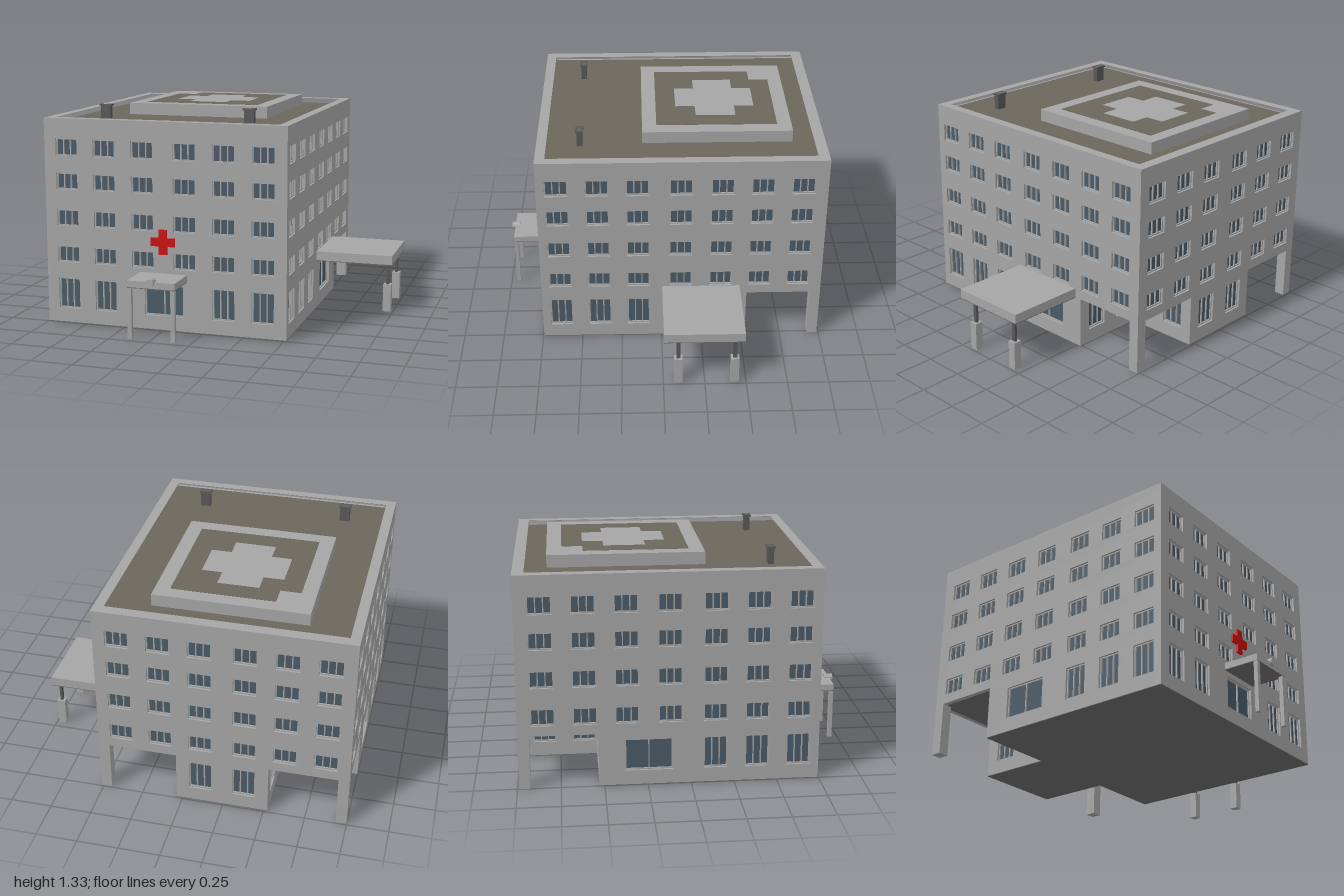
import * as THREE from 'three';
import { mergeGeometries } from 'three/addons/utils/BufferGeometryUtils.js';

const mat = (color) => new THREE.MeshStandardMaterial({ color, flatShading: true });
const GREY = mat(0xa5a5a5), UNDERSIDE = mat(0x6a6a6a), GLASS = mat(0x495a67);
const ROOF = mat(0x6c675c), RED = mat(0xcd1010), VENT = mat(0x585858);

// Building extents, measured from its own centre line
const HW = 0.757, FRONT = 0.745, BACK = -0.99, BASE = 0.004, WALL_TOP = 1.22, T = 0.03;
const BUMP = 0.28, NOTCH_Z = -0.53, NOTCH_Y = 0.32;
const COLS = [-0.615, -0.374, -0.132, 0.132, 0.374, 0.615];
const SIDE_COLS = [0.625, 0.384, 0.142, -0.118, -0.365, -0.605, -0.845];
const FLOORS = [[0.38, 0.48], [0.605, 0.705], [0.83, 0.93], [1.035, 1.14]];
const GROUND = [0.09, 0.28];

function boxGeo(x0, x1, y0, y1, z0, z1) {
  return new THREE.BoxGeometry(x1 - x0, y1 - y0, z1 - z0)
    .translate((x0 + x1) / 2, (y0 + y1) / 2, (z0 + z1) / 2);
}

function add(parent, name, geo, material = GREY) {
  const mesh = new THREE.Mesh(geo, material);
  mesh.name = name;
  parent.add(mesh);
  return mesh;
}

const box = (parent, name, e, material) => add(parent, name, boxGeo(...e), material);
const shapeOf = (pts) => new THREE.Shape(pts.map(([x, y]) => new THREE.Vector2(x, y)));
const rect = (x0, x1, y0, y1) => [[x0, y0], [x1, y0], [x1, y1], [x0, y1]];
const ordered = (a, b) => [Math.min(a, b), Math.max(a, b)];

// Horizontal slab from an outline in x and z, with a hole
function slab(outline, hole, y, height) {
  const flip = (pts) => shapeOf(pts.map(([x, z]) => [x, -z]));
  const shape = flip(outline);
  shape.holes.push(flip(hole));
  return new THREE.ExtrudeGeometry(shape, { depth: height, bevelEnabled: false })
    .rotateX(-Math.PI / 2).translate(0, y, 0);
}

// Wall with recessed openings; outward is local +z
function wall(parent, name, outline, openings, x, z, turn) {
  const group = new THREE.Group();
  group.name = name;
  group.position.set(x, 0, z);
  group.rotation.y = turn;
  const shape = shapeOf(outline), frames = [], panes = [], f = 0.007;
  for (const { u, w, y0, y1, n } of openings) {
    const a = u - w / 2, b = u + w / 2;
    shape.holes.push(shapeOf(rect(a, b, y0, y1)));
    panes.push(boxGeo(a, b, y0, y1, -T, -0.022));
    for (const y of [y0, y1 - f]) frames.push(boxGeo(a, b, y, y + f, -0.024, -0.012));
    for (let i = 0; i <= n; i++) {
      const c = a + f / 2 + (w - f) * i / n;
      frames.push(boxGeo(c - f / 2, c + f / 2, y0 + f, y1 - f, -0.024, -0.013));
    }
  }
  add(group, 'wallPanel', new THREE.ExtrudeGeometry(shape, { depth: T, bevelEnabled: false }).translate(0, 0, -T));
  add(group, 'windowFrames', mergeGeometries(frames));
  add(group, 'windowGlass', mergeGeometries(panes), GLASS);
  parent.add(group);
}

const windowAt = (u, [y0, y1]) => ({ u, w: 0.138, y0, y1, n: 3 });
const doorAt = (u, w) => ({ u, w, y0: GROUND[0], y1: GROUND[1], n: 2 });
const upper = (cols) => FLOORS.flatMap((fl) => cols.map((u) => windowAt(u, fl)));
const lower = (cols) => cols.map((u) => windowAt(u, GROUND));

function addWalls(b) {
  wall(b, 'frontWall', rect(-HW, HW, BASE, WALL_TOP),
    [...upper(COLS), ...lower([-0.615, -0.374, 0.374, 0.615]), doorAt(0, 0.245)], 0, FRONT, 0);

  // Back wall stands on a narrower ground floor
  wall(b, 'backWall', [[-BUMP, BASE], [BUMP, BASE], [BUMP, NOTCH_Y], [HW, NOTCH_Y], [HW, WALL_TOP],
    [-HW, WALL_TOP], [-HW, NOTCH_Y], [-BUMP, NOTCH_Y]],
    [...upper(COLS), ...lower([-0.132, 0.132])], 0, BACK, Math.PI);

  for (const s of [1, -1]) {
    const side = s > 0 ? 'left' : 'right', turn = s * Math.PI / 2;
    const along = SIDE_COLS.map((z) => -s * z);
    const outline = [[FRONT - T, BASE], [NOTCH_Z, BASE], [NOTCH_Z, NOTCH_Y], [BACK + T, NOTCH_Y],
      [BACK + T, WALL_TOP], [FRONT - T, WALL_TOP]].map(([z, y]) => [-s * z, y]);
    wall(b, side + 'Wall', outline,
      [...upper(along), ...lower(along.slice(0, 3)), doorAt(s * 0.243, 0.275)], s * HW, 0, turn);

    // Recessed ground floor at the back corner
    const depth = ordered(-s * NOTCH_Z, -s * (BACK + T));
    wall(b, side + 'RecessSideWall', rect(...depth, BASE, NOTCH_Y), lower(along.slice(5)), s * BUMP, 0, turn);
    const span = ordered(-s * (BUMP - T), -s * (HW - T));
    wall(b, side + 'RecessBackWall', rect(...span, BASE, NOTCH_Y),
      lower([-s * 0.374, -s * 0.615]), 0, NOTCH_Z, Math.PI);
    box(b, side + 'RecessCeiling', [...ordered(s * (BUMP - T), s * (HW - T)),
      NOTCH_Y, NOTCH_Y + 0.03, BACK + T, NOTCH_Z + T], UNDERSIDE);
    box(b, side + 'CornerColumn', [...ordered(s * (HW - 0.065), s * HW),
      0, NOTCH_Y + 0.001, BACK, BACK + 0.065]);
  }
  box(b, 'mainFloor', [-HW, HW, 0, BASE, NOTCH_Z, FRONT], UNDERSIDE);
  box(b, 'backFloor', [-BUMP, BUMP, 0, BASE, BACK, NOTCH_Z], UNDERSIDE);
}

function addRoof(b) {
  // Parapet with a dark inner lining
  const inner = (m) => rect(-HW + m, HW - m, BACK + m + 0.007, FRONT - m);
  add(b, 'parapet', slab(rect(-HW, HW, BACK, FRONT), inner(0.06), WALL_TOP, 0.042));
  add(b, 'parapetLining', slab(inner(0.059), inner(0.063), WALL_TOP, 0.041), ROOF);
  box(b, 'roofDeck', [-HW + T, HW - T, 1.2, 1.227, BACK + T, FRONT - T], ROOF);

  // Landing pad with a dark field around a plain cross
  box(b, 'landingPad', [-0.457, 0.457, 1.222, 1.3, -0.8, 0.11]);
  const c = -0.345, o = 0.368, l = 0.245, w = 0.123;
  const field = [[-l, -o], [o, -o], [o, o], [-o, o], [-o, -l], [-l, -l]];
  const cross = [[-w, -l], [w, -l], [w, -w], [l, -w], [l, w], [w, w],
    [w, l], [-w, l], [-w, w], [-l, w], [-l, -w], [-w, -w]];
  add(b, 'padMarking', slab(field, cross, 1.299, 0.002), ROOF).position.z = c;

  // Hollow roof vents
  for (const x of [-0.457, 0.457]) {
    const vent = new THREE.Group();
    vent.name = 'roofVent';
    vent.position.set(x, 0, 0.487);
    const ring = (hx, hz) => rect(-hx, hx, -hz, hz);
    add(vent, 'ventShaft', slab(ring(0.031, 0.017), ring(0.022, 0.009), 1.22, 0.1), VENT);
    add(vent, 'ventCap', slab(ring(0.038, 0.024), ring(0.022, 0.009), 1.318, 0.01), VENT);
    b.add(vent);
  }
}

// Flat canopy with a dark underside
function canopy(b, name, [x0, x1, y0, y1, z0, z1]) {
  box(b, name, [x0, x1, y0 + BASE, y1, z0, z1]);
  box(b, name + 'Soffit', [x0, x1, y0, y0 + BASE, z0, z1], UNDERSIDE);
}

function addFrontEntrance(b) {
  canopy(b, 'frontCanopy', [-0.147, 0.147, 0.31, 0.353, FRONT, 0.965]);
  for (const x of [-0.134, 0.134]) box(b, 'frontCanopyPost', [x - 0.013, x + 0.013, 0, 0.31, 0.94, 0.965]);
  add(b, 'canopyLamp', new THREE.CylinderGeometry(0.024, 0.024, 0.052, 16)
    .rotateX(Math.PI / 2).translate(0, 0.35, 0.959));

  const r = 0.075, a = 0.025;
  const sign = shapeOf([[-a, -r], [a, -r], [a, -a], [r, -a], [r, a], [a, a],
    [a, r], [-a, r], [-a, a], [-r, a], [-r, -a], [-a, -a]]);
  add(b, 'wallCross', new THREE.ExtrudeGeometry(sign, { depth: 0.015, bevelEnabled: false }), RED)
    .position.set(0, 0.545, FRONT);
}

function addSideCanopy(b) {
  canopy(b, 'sideCanopy', [HW, 1.243, 0.315, 0.376, -0.485, -0.003]);
  for (const z of [-0.09, -0.43]) {
    box(b, 'sideCanopyPier', [1.179, 1.229, 0, 0.175, z - 0.025, z + 0.025]);
    box(b, 'sideCanopyPost', [1.196, 1.212, 0.17, 0.316, z - 0.012, z + 0.012], VENT);
  }
}

export function createModel() {
  const model = new THREE.Group();
  model.name = 'hospital';
  const building = new THREE.Group();
  building.name = 'building';
  building.position.x = -0.243;
  addWalls(building);
  addRoof(building);
  addFrontEntrance(building);
  addSideCanopy(building);
  model.add(building);
  return model;
}
